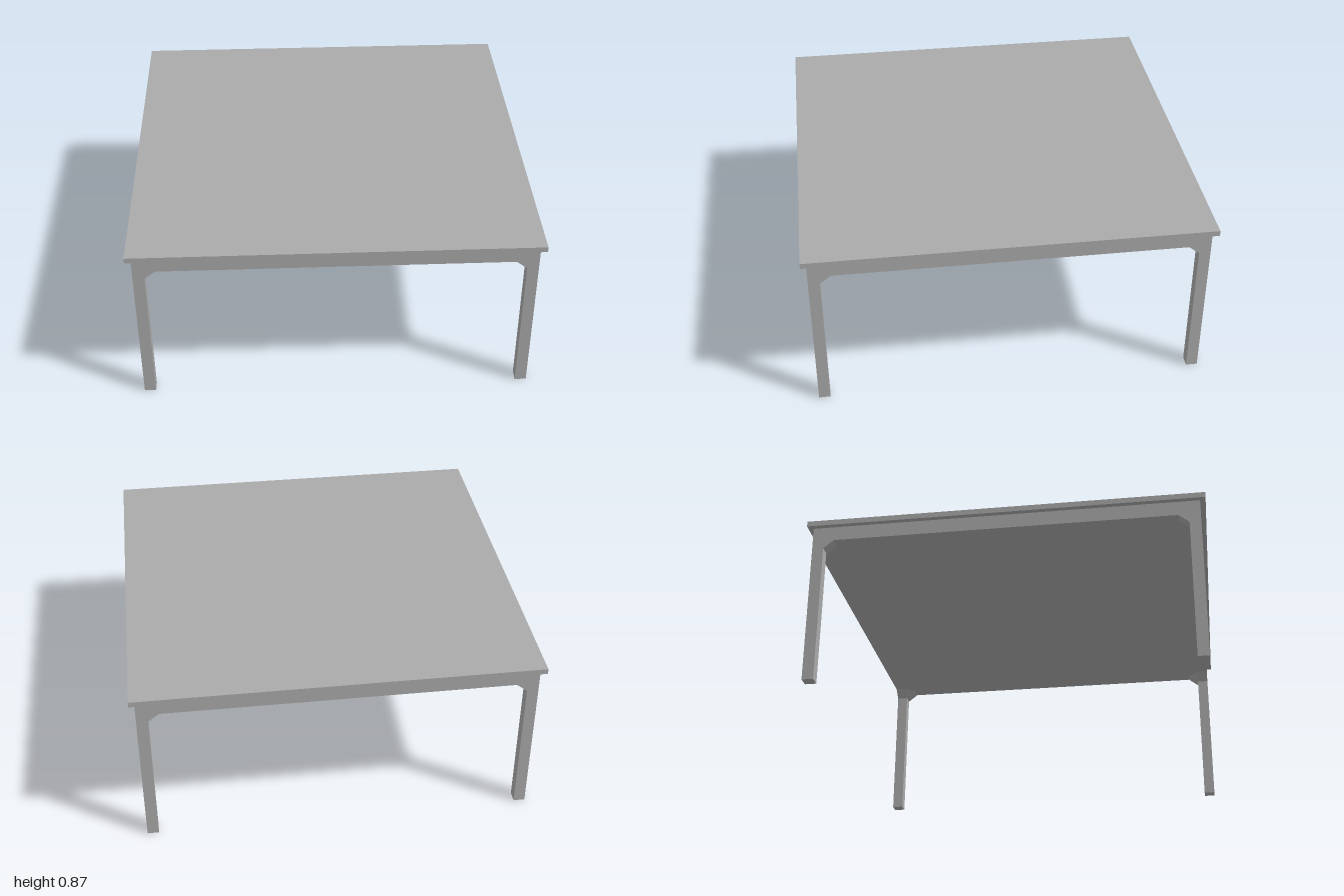
import * as THREE from 'three';
import { ConvexGeometry } from 'three/addons/geometries/ConvexGeometry.js';

const HEIGHT = 0.868, FRAME_TOP = 0.84, FRAME_BOTTOM = 0.765, BRACKET_BOTTOM = 0.723;
const OUTER = 0.973, INNER = 0.916, FLARE = 0.863; // distances from the centre

export function createModel() {
  const grey = new THREE.MeshStandardMaterial({ color: 0xaaaaaa, flatShading: true });
  grey.name = 'grey';
  const table = new THREE.Group();
  table.name = 'table';

  const add = (name, geometry, x = 0, y = 0, z = 0) => {
    const mesh = new THREE.Mesh(geometry, grey);
    mesh.name = name;
    mesh.position.set(x, y, z);
    table.add(mesh);
  };
  const slab = (name, width, bottom, top, x = 0, z = 0) =>
    add(name, new THREE.BoxGeometry(width, top - bottom, width), x, (bottom + top) / 2, z);

  // Overhanging top and the solid frame beneath it
  slab('tableTop', 2, FRAME_TOP, HEIGHT);
  slab('frame', OUTER * 2, FRAME_BOTTOM, FRAME_TOP);

  // Square legs, each flaring into the frame with a faceted bracket
  for (const [side, sx] of [['Left', 1], ['Right', -1]]) {
    for (const [end, sz] of [['front', 1], ['back', -1]]) {
      const mid = (OUTER + INNER) / 2;
      slab(`${end}${side}Leg`, OUTER - INNER, 0, BRACKET_BOTTOM, sx * mid, sz * mid);

      const at = (x, y, z) => new THREE.Vector3(sx * x, y, sz * z);
      const foot = [[OUTER, OUTER], [INNER, OUTER], [INNER, INNER], [OUTER, INNER]]
        .map(([x, z]) => at(x, BRACKET_BOTTOM, z));
      const head = [[OUTER, OUTER], [FLARE, OUTER], [FLARE, INNER], [INNER, FLARE], [OUTER, FLARE]]
        .map(([x, z]) => at(x, FRAME_BOTTOM, z));
      add(`${end}${side}Bracket`, new ConvexGeometry([...foot, ...head]));
    }
  }
  return table;
}
